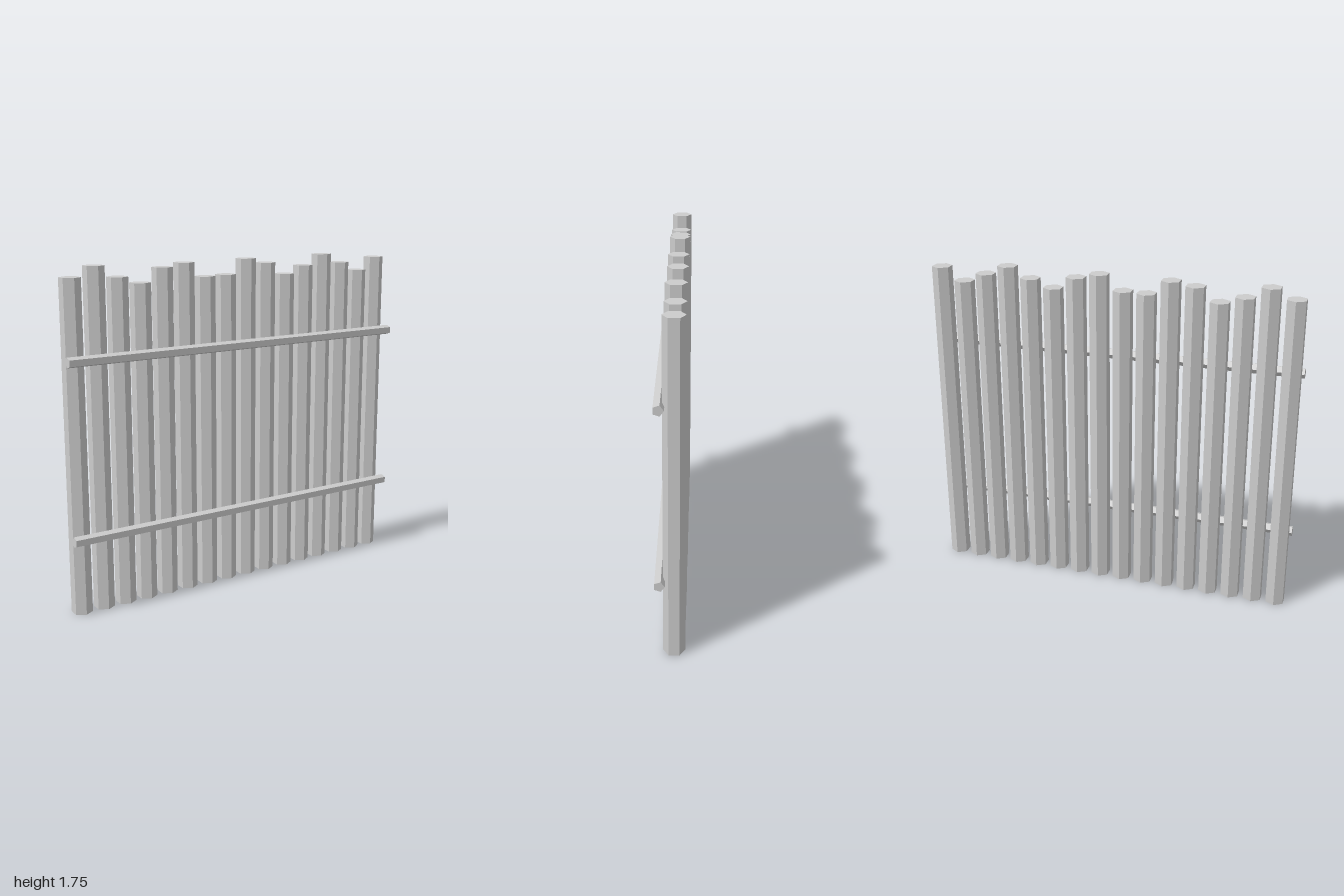
import * as THREE from 'three';

export function createModel() {
  const fence = new THREE.Group();
  fence.name = 'fence';
  const grey = new THREE.MeshStandardMaterial({ color: 0xcccccc, flatShading: true });
  grey.name = 'plain grey';

  // Hexagonal posts of uneven height, standing in a row with an edge facing front
  const heights = [1.70, 1.75, 1.69, 1.655, 1.725, 1.743, 1.667, 1.67,
    1.747, 1.72, 1.655, 1.695, 1.75, 1.70, 1.652, 1.72];
  heights.forEach((height, i) => {
    const post = new THREE.Mesh(new THREE.CylinderGeometry(0.054, 0.054, height, 6), grey);
    post.name = `post${i + 1}`;
    post.position.set(-0.942 + i * 0.1251, height / 2, -0.019);
    fence.add(post);
  });

  // Five-sided rails across the front, flat side forward
  const railGeometry = new THREE.CylinderGeometry(0.0275, 0.0275, 2, 5, 1, false, Math.PI);
  railGeometry.rotateZ(Math.PI / 2);
  [['lowerRail', 0.403], ['upperRail', 1.303]].forEach(([name, y]) => {
    const rail = new THREE.Mesh(railGeometry, grey);
    rail.name = name;
    rail.position.set(0, y, 0.051);
    fence.add(rail);
  });

  return fence;
}
